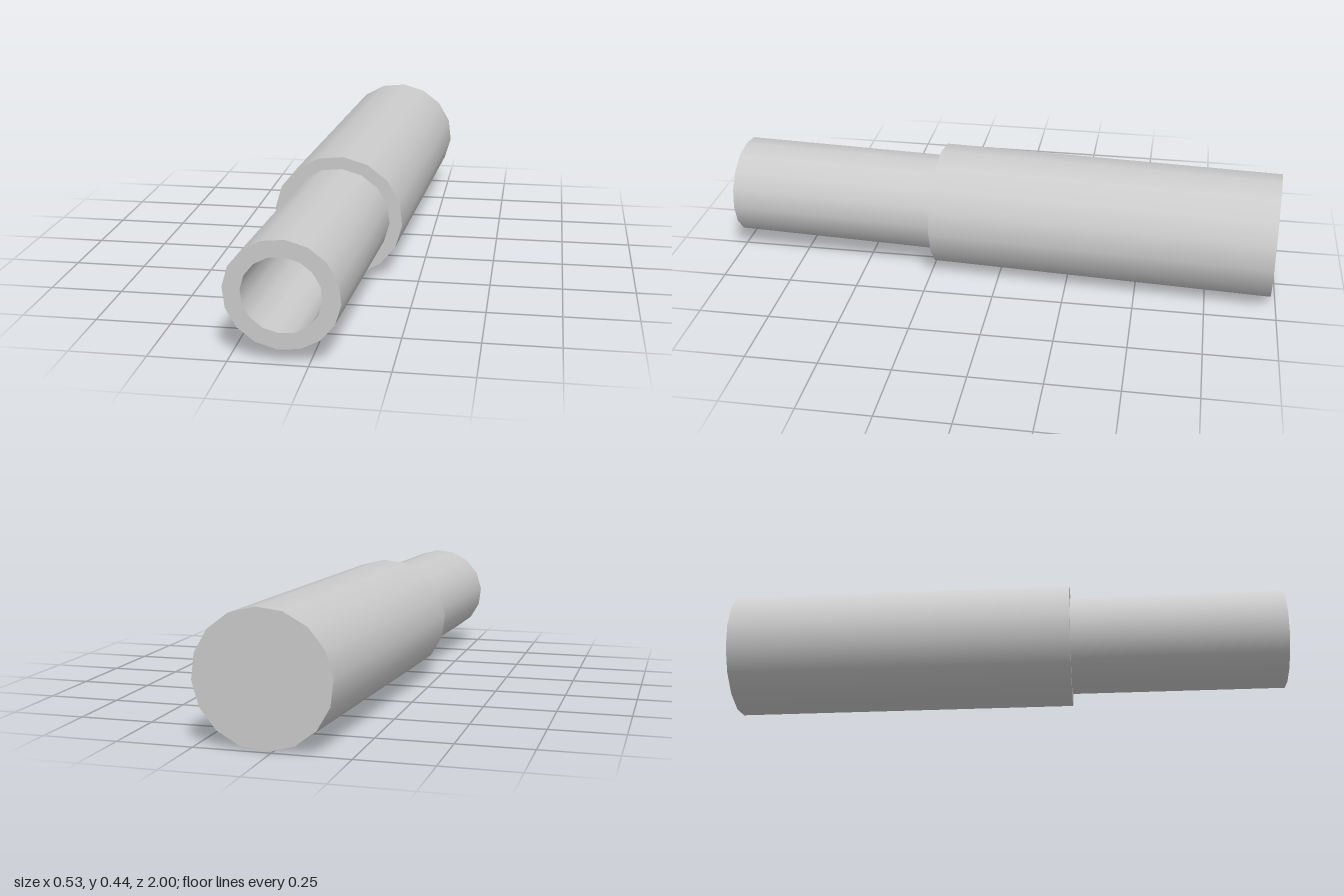
import * as THREE from 'three';
import { mergeGeometries } from 'three/addons/utils/BufferGeometryUtils.js';

const SIDES = 16;
const ROLL = THREE.MathUtils.degToRad(-4.5);
const FLATTEN = 0.954; // height / width of the cross-section

// Turns a [radius, z] profile around z: smooth around the axis, sharp at each corner
function turned(name, profile) {
  const strips = [];
  for (let i = 0; i + 1 < profile.length; i++) {
    const pts = [profile[i], profile[i + 1]].map(([r, z]) => new THREE.Vector2(r, z));
    strips.push(new THREE.LatheGeometry(pts, SIDES, ROLL));
  }
  const geometry = mergeGeometries(strips);
  geometry.rotateX(Math.PI / 2);
  geometry.scale(1, FLATTEN, 1);
  const mesh = new THREE.Mesh(geometry, new THREE.MeshStandardMaterial({ color: 0xcccccc }));
  mesh.name = name;
  return mesh;
}

export function createModel() {
  const group = new THREE.Group();
  group.name = 'steppedTube';
  const body = new THREE.Group();
  body.name = 'tubeBody';

  // Wide rear sleeve: closed back, side, and shoulder around the narrow tube
  body.add(turned('rearSleeve', [[0, -0.989], [0.2287, -0.989], [0.2287, 0.228], [0.1833, 0.228]]));

  // Narrow front tube: side, rim, blind bore and its floor
  body.add(turned('frontTube', [
    [0.1833, 0.228], [0.1833, 0.989], [0.127, 0.989], [0.127, 0.35], [0, 0.35],
  ]));

  // The whole tube lies slightly turned off the z axis
  body.rotation.y = -0.0583;
  body.position.set(-0.025, 0.2175, 0);
  group.add(body);
  return group;
}
